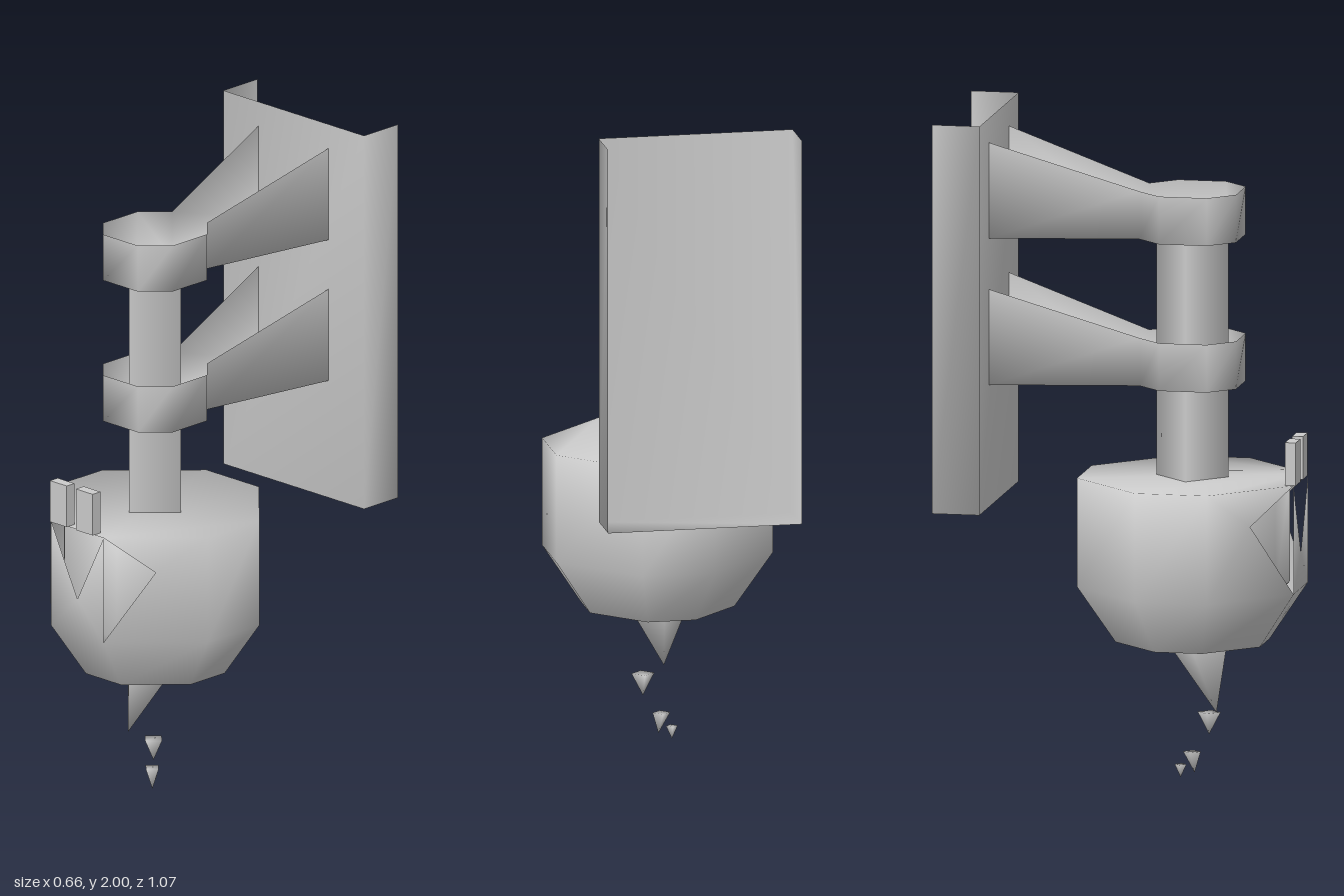
import * as THREE from 'three';
import { mergeVertices } from 'three/addons/utils/BufferGeometryUtils.js';

const material = new THREE.MeshStandardMaterial({ color: 0xcccccc, side: THREE.DoubleSide });
const AXIS_Z = 0.2; // depth of the axis shared by post, collars and pot

// Smooth-shaded mesh from polygons, each fanned from its first corner
function polyMesh(name, polygons) {
  const positions = [];
  for (const p of polygons) {
    for (let i = 1; i < p.length - 1; i++) positions.push(...p[0], ...p[i], ...p[i + 1]);
  }
  let geometry = new THREE.BufferGeometry();
  geometry.setAttribute('position', new THREE.Float32BufferAttribute(positions, 3));
  geometry = mergeVertices(geometry, 1e-4);
  geometry.computeVertexNormals();
  const mesh = new THREE.Mesh(geometry, material);
  mesh.name = name;
  return mesh;
}

// Octagon at height y: half width h, half length c of the front, back and side edges
function octagon(h, c, y) {
  return [[c, h], [h, c], [h, -c], [c, -h], [-c, -h], [-h, -c], [-h, c], [-c, h]]
    .map(([x, z]) => [x, y, z + AXIS_Z]);
}

// Side quads between two rings, leaving out the listed segments
function band(lower, upper, skip = []) {
  return lower.map((p, i) => {
    const j = (i + 1) % lower.length;
    return [p, lower[j], upper[j], upper[i]];
  }).filter((_, i) => !skip.includes(i));
}

const mirror = (polygon) => polygon.map(([x, y, z]) => [-x, y, z]).reverse();

// Shallow tray, open at the back and the top
function wallPlate() {
  const w = 0.295, y0 = 0.82, y1 = 2, zf = -0.39, zb = -0.535;
  const side = [[w, y0, zf], [w, y0, zb], [w, y1, zb], [w, y1, zf]];
  return polyMesh('wallPlate', [
    [[-w, y0, zf], [w, y0, zf], [w, y1, zf], [-w, y1, zf]],
    side, mirror(side),
    [[-w, y0, zb], [w, y0, zb], [w, y0, zf], [-w, y0, zf]],
  ]);
}

// Octagonal cup whose open back runs into a flaring, open-topped arm
function bracket(name, y) {
  const top = y + 0.145;
  const lower = octagon(0.147, 0.073, y), upper = octagon(0.147, 0.073, top);
  const endLow = [0.147, y, -0.39], endHigh = [0.147, y + 0.29, -0.39];
  const side = [lower[3], endLow, endHigh, upper[3]];
  return polyMesh(name, [
    ...band(lower, upper, [3]),
    [...lower].reverse(),
    side, mirror(side),
    [lower[3], lower[4], [-0.147, y, -0.39], endLow],
  ]);
}

// Pot shell with a jagged opening at the front and an open base
function pot() {
  const base = octagon(0.22, 0.073, 0.41);
  const waist = octagon(0.33, 0.11, 0.58);
  const rim = octagon(0.33, 0.11, 0.91);
  const notch = [0.22, 0.8, AXIS_Z + 0.22];
  const cheek = [notch, waist[0], waist[1], rim[1], rim[0]];
  return polyMesh('pot', [
    ...band(base, waist),
    ...band(waist, rim, [0, 6, 7]),
    cheek,
    [mirror(cheek)[4], ...mirror(cheek).slice(0, 4)],
    [[0, 0.69, AXIS_Z + 0.33], rim[7], waist[7], waist[0], rim[0]],
    rim,
  ]);
}

// Inner body seen through the openings of the pot
function potFilling() {
  const rings = [octagon(0.16, 0.06, 0.45), octagon(0.274, 0.11, 0.58), octagon(0.274, 0.11, 0.9)];
  return polyMesh('potFilling', [
    ...band(rings[0], rings[1]), ...band(rings[1], rings[2]),
    [...rings[0]].reverse(), rings[2],
  ]);
}

// Four-sided spike pointing down from a diamond base
function drip(name, x, z, r, top, tip) {
  const base = [[x, top, z + r], [x + r, top, z], [x, top, z - r], [x - r, top, z]];
  const sides = base.map((p, i) => [tip, base[(i + 1) % 4], p]);
  return polyMesh(name, [base, ...sides]);
}

export function createModel() {
  const group = new THREE.Group();
  group.add(wallPlate(), bracket('upperBracket', 1.635), bracket('lowerBracket', 1.19));

  // Post with four smooth-shaded sides
  const post = new THREE.Mesh(new THREE.CylinderGeometry(0.11, 0.11, 0.735, 4, 1, true), material);
  post.name = 'post';
  post.position.set(0, 1.2725, AXIS_Z);
  group.add(post);

  group.add(pot(), potFilling());

  // Two small tabs standing on the front rim
  for (const x of [-0.074, 0.035]) {
    const tab = new THREE.Mesh(new THREE.BoxGeometry(0.07, 0.13, 0.033), material);
    tab.name = 'rimTab';
    tab.position.set(x, 0.975, 0.52);
    group.add(tab);
  }

  // Hanging drip and falling drops
  group.add(
    drip('hangingDrip', 0, AXIS_Z, 0.112, 0.45, [-0.035, 0.2, 0.28]),
    drip('largeDrop', 0.036, 0.243, 0.035, 0.188, [0.036, 0.12, 0.243]),
    drip('mediumDrop', -0.012, 0.2, 0.027, 0.075, [-0.004, 0.01, 0.207]),
    drip('smallDrop', -0.038, 0.171, 0.018, 0.04, [-0.038, 0, 0.171]),
  );
  return group;
}
